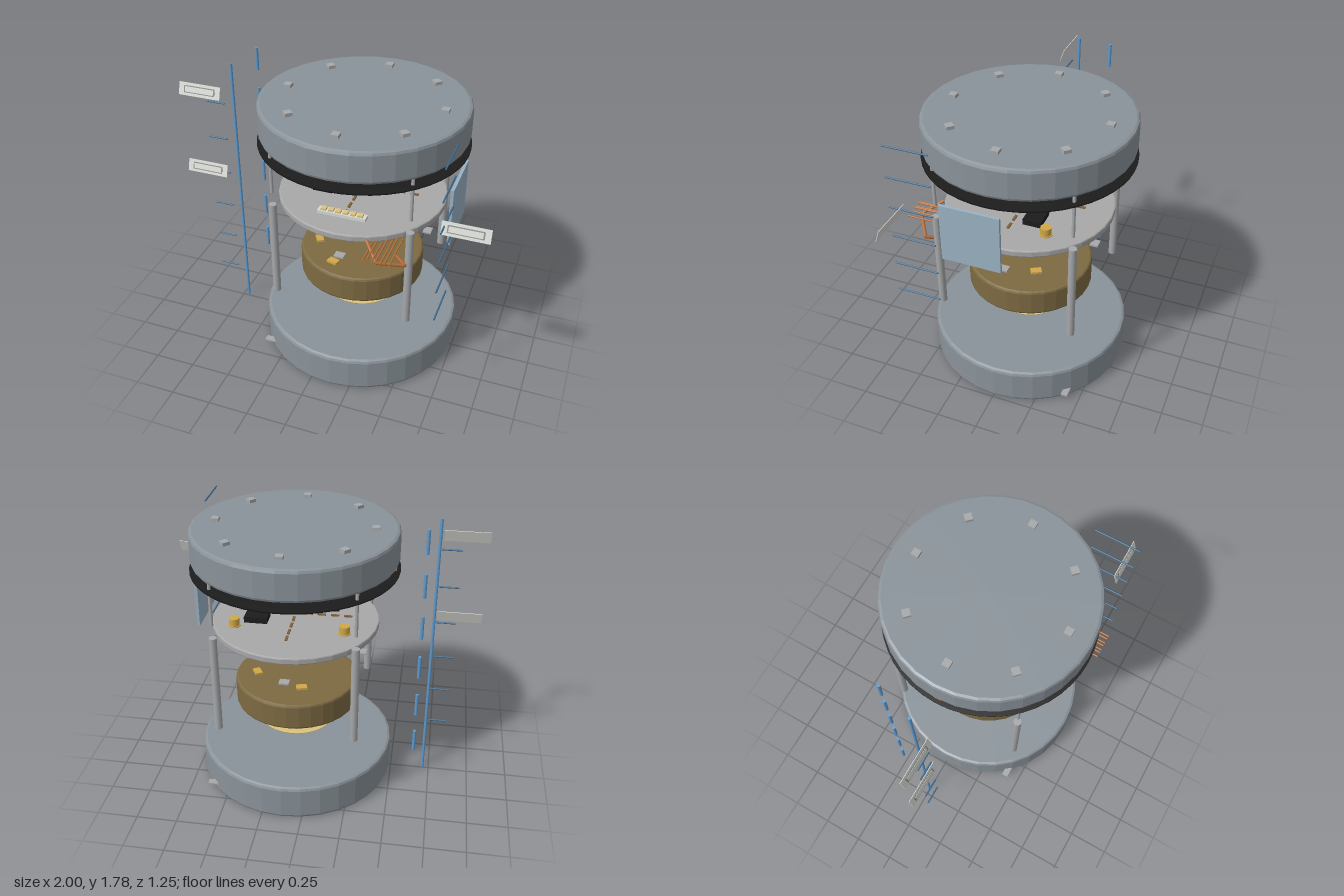
import * as THREE from 'three';

const CX = 0.125, CZ = -0.005; // axis of the round stack

const mat = (color, flat = false) =>
  new THREE.MeshStandardMaterial({ color, flatShading: flat, side: THREE.DoubleSide });
const M = {
  shell: mat(0x8a939a, true), grey: mat(0xa6a8aa), board: mat(0xa8a8a8, true), brass: mat(0x7d6a42, true),
  gold: mat(0xd0a848), cream: mat(0xdcc27c), black: mat(0x1c1c1c), blue: mat(0x5f9bcf),
  darkBlue: mat(0x3f6c92), glass: mat(0x9ab2c4), copper: mat(0xb8703a), brown: mat(0x80603c),
  label: mat(0xd8dad4), frame: mat(0x8c8f8e),
};

export function createModel() {
  const model = new THREE.Group();

  function add(name, geometry, material, x, y, z, parent = model) {
    const mesh = new THREE.Mesh(geometry, material);
    mesh.name = name;
    mesh.position.set(x, y, z);
    parent.add(mesh);
    return mesh;
  }
  const box = (name, w, h, d, m, x, y, z, parent) =>
    add(name, new THREE.BoxGeometry(w, h, d), m, x, y, z, parent);
  const rod = (name, r, len, m, x, y, z) =>
    add(name, new THREE.CylinderGeometry(r, r, len, 12), m, x, y, z);

  // Turned disc with softened rims, sitting on y0
  function disc(name, r, y0, y1, bevel, m) {
    const h = y1 - y0, b = bevel, c = bevel * 0.3;
    const profile = [[0, 0], [r - b, 0], [r - c, c], [r, b], [r, h - b], [r - c, h - c], [r - b, h], [0, h]];
    return add(name, new THREE.LatheGeometry(profile.map(p => new THREE.Vector2(...p)), 32), m, CX, y0, CZ);
  }
  // Flat ring with a rectangular section
  function ring(name, inner, outer, y, h, m) {
    const p = [[inner, 0], [outer, 0], [outer, h], [inner, h], [inner, 0]];
    return add(name, new THREE.LatheGeometry(p.map(q => new THREE.Vector2(...q)), 48), m, CX, y, CZ);
  }

  // Main stack
  disc('bottomCase', 0.615, 0, 0.225, 0.02, M.shell);
  disc('topCase', 0.615, 1.475, 1.67, 0.02, M.shell);
  disc('circuitBoard', 0.51, 1.035, 1.077, 0.008, M.board);
  disc('battery', 0.385, 0.5, 0.67, 0.015, M.brass);
  ring('gasket', 0.44, 0.622, 1.42, 0.01, M.black);
  [[0.17, 0.483], [0.205, 0.423], [0.24, 0.363]].forEach(([r, y]) =>
    ring('coilRing', r - 0.045, r, y, 0.004, M.cream));
  box('gasketTab', 0.1, 0.02, 0.04, M.copper, -0.425, 1.435, 0);

  // Eight studs around the lid
  for (let i = 0; i < 8; i++) {
    const a = i * Math.PI / 4;
    const stud = box('lidStud', 0.045, 0.03, 0.045, M.grey,
      CX + 0.47 * Math.cos(a), 1.675, CZ + 0.47 * Math.sin(a));
    stud.rotation.y = -a;
  }

  // Four corner posts with their screws
  for (const sx of [-1, 1]) for (const sz of [-1, 1]) {
    const x = CX + sx * 0.413, z = CZ + sz * 0.413;
    rod('post', 0.024, 0.63, M.grey, x, 0.805, z);
    rod('screw', 0.01, 0.275, M.grey, x, 1.3375, z);
  }

  // Four retaining tabs between battery and board
  for (let i = 0; i < 4; i++) {
    const a = i * Math.PI / 2;
    const tab = box('retainingTab', 0.05, 0.01, 0.06, M.grey,
      CX + 0.415 * Math.cos(a), 0.86, CZ + 0.415 * Math.sin(a));
    tab.rotation.y = -a;
  }

  // Contacts floating over the battery
  [[0.225, -0.13], [-0.075, -0.265], [-0.235, 0.13], [-0.075, 0.32]].forEach(([x, z]) => {
    const c = box('batteryContact', 0.045, 0.014, 0.065, M.gold, CX + x, 0.732, z);
    c.rotation.y = -Math.atan2(z, x);
  });

  // Side tabs at the foot of the case
  box('caseTab', 0.07, 0.01, 0.04, M.grey, -0.35, 0.055, 0.41);
  box('caseTab', 0.07, 0.01, 0.04, M.grey, 0.595, 0.055, -0.42);

  // Components on the board
  box('chip', 0.12, 0.035, 0.12, M.black, -0.075, 1.12, 0.1);
  box('chip', 0.14, 0.035, 0.11, M.black, 0.34, 1.12, -0.125);
  for (const x of [-0.2, 0.455]) {
    rod('capacitor', 0.032, 0.045, M.gold, x, 1.135, -0.23);
    rod('capacitorFoot', 0.038, 0.006, M.gold, x, 1.11, -0.23);
  }
  box('connectorBase', 0.29, 0.02, 0.05, M.label, 0.125, 1.12, 0.365);
  for (let i = 0; i < 6; i++)
    box('connectorPin', 0.03, 0.012, 0.034, M.cream, 0.015 + i * 0.044, 1.135, 0.365);
  for (let i = -4; i <= 4; i++) {
    box('boardTrace', 0.05, 0.008, 0.015, M.brown, CX + i * 0.08, 1.1, CZ);
    if (i) box('boardTrace', 0.015, 0.008, 0.05, M.brown, CX, 1.1, CZ + i * 0.08);
  }
  for (const [x, z] of [[0.42, 0.28], [-0.11, -0.115]])
    box('undersideChip', 0.06, 0.012, 0.06, M.frame, x, 1.022, z).rotation.y = Math.PI / 4;

  // Ribbon of copper wires at the front of the board
  for (let i = 0; i < 7; i++) {
    const wire = rod('ribbonWire', 0.005, 0.27, M.copper, 0.335 + i * 0.025, 1.03 + (i % 2) * 0.012, 0.49);
    wire.rotation.x = Math.PI / 2;
  }
  const bend = [[0.31, 1.06, 0.48], [0.4, 1.0, 0.585], [0.54, 0.95, 0.49], [0.45, 0.905, 0.36]]
    .map(p => new THREE.Vector3(...p));
  const path = new THREE.CurvePath();
  for (let i = 0; i < 3; i++) path.add(new THREE.LineCurve3(bend[i], bend[i + 1]));
  add('leadWire', new THREE.TubeGeometry(path, 48, 0.01, 8), M.copper, 0, 0, 0);

  // Side panel
  box('sidePanel', 0.018, 0.36, 0.355, M.glass, 0.726, 1.175, 0.103);

  // Blue guide lines: one long, one dashed, and two ladders of short bars
  rod('guideRod', 0.009, 1.75, M.blue, -0.71, 0.885, -0.005);
  for (let i = 0; i < 6; i++) {
    rod('guideDash', 0.01, 0.145, M.blue, -0.645, 0.383 + i * 0.265, -0.225);
    rod('leftBar', 0.005, 0.12, M.darkBlue, -0.785, 0.33 + i * 0.241, 0.085).rotation.z = Math.PI / 2;
    rod('rightBar', 0.005, 0.27, M.darkBlue, 0.743, 0.69 + i * 0.195, 0.445).rotation.x = Math.PI / 2;
  }

  // Tilted blank label plates
  for (const [x, y, z] of [[-0.866, 1.61, 0.117], [-0.862, 1.082, 0.117], [0.861, 1.267, 0.508]]) {
    const plate = new THREE.Group();
    plate.name = 'labelPlate';
    plate.position.set(x, y, z);
    plate.rotation.x = -0.33;
    box('plate', 0.268, 0.078, 0.004, M.label, 0, 0, 0, plate);
    box('plateFrame', 0.2, 0.044, 0.003, M.frame, 0, 0, 0.003, plate);
    box('plateWindow', 0.185, 0.032, 0.003, M.label, 0, 0, 0.005, plate);
    model.add(plate);
  }

  return model;
}
